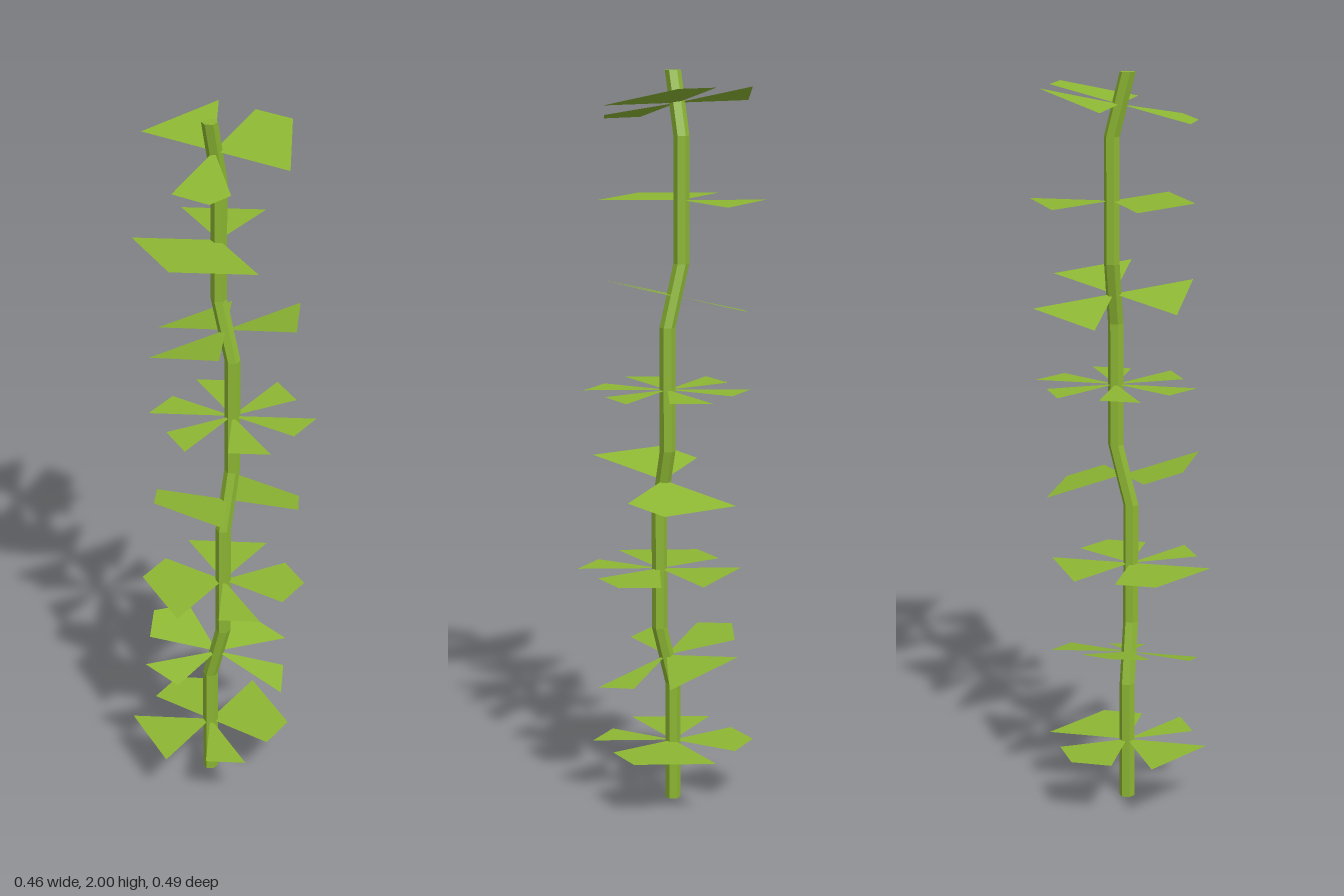
import * as THREE from 'three';

const STEM_RADIUS = 0.021;
const LEAF_RADIUS = 0.222;
const STEP = 1 / 6; // height between stem rings
const RAD = Math.PI / 180;

// Centre of stem ring k (0 to 12): it shifts sideways at the kinks
function ringCentre(k) {
  const x = k >= 3 && k <= 8 ? 0.035 : -0.008;
  const z = k >= 6 && k <= 11 ? -0.021 : 0.021;
  return new THREE.Vector3(x, k * STEP, z);
}

// Six-sided kinked stem
function createStem(material) {
  const geometry = new THREE.CylinderGeometry(STEM_RADIUS, STEM_RADIUS, 2, 6, 12);
  geometry.translate(0, 1, 0);
  const pos = geometry.attributes.position;
  for (let i = 0; i < pos.count; i++) {
    const c = ringCentre(Math.round(pos.getY(i) / STEP));
    pos.setX(i, pos.getX(i) + c.x);
    pos.setZ(i, pos.getZ(i) + c.z);
  }
  geometry.computeVertexNormals();
  const stem = new THREE.Mesh(geometry, material);
  stem.name = 'stem';
  return stem;
}

// Flat leaf: the slice of a hexagon between two angles (degrees, +x towards +z)
function createLeaf(from, to, firstCorner, material) {
  const angles = [from];
  for (let a = firstCorner; a < to; a += 60) if (a > from) angles.push(a);
  angles.push(to);
  const points = [new THREE.Vector2(0, 0)];
  for (const a of angles) {
    const offset = ((a - firstCorner + 360) % 60) - 30; // from the middle of the hexagon edge
    const r = LEAF_RADIUS * Math.cos(30 * RAD) / Math.cos(offset * RAD);
    points.push(new THREE.Vector2(r * Math.cos(a * RAD), -r * Math.sin(a * RAD)));
  }
  const geometry = new THREE.ShapeGeometry(new THREE.Shape(points));
  geometry.rotateX(-Math.PI / 2);
  const leaf = new THREE.Mesh(geometry, material);
  leaf.name = 'leaf';
  return leaf;
}

// Leaf whorls from bottom to top: position along the stem rings, then leaf slices
const WHORLS = [
  { at: 1, leaves: [[30, 60], [90, 150], [180, 240], [270, 360]] },
  { at: 2.5, leaves: [[90, 120], [150, 210], [240, 300], [330, 360]] },
  { at: 4, leaves: [[30, 60], [90, 180], [210, 270], [300, 360]] },
  { at: 5.5, leaves: [[60, 150], [240, 330]] },
  { at: 7, leaves: [[30, 60], [90, 120], [150, 180], [210, 240], [270, 300], [330, 360]] },
  { at: 8.5, leaves: [[60, 120], [180, 240], [300, 360]] },
  { at: 10, leaves: [[30, 150], [210, 270]] },
  { at: 11.5, leaves: [[45, 90], [180, 240], [270, 360]] },
];

export function createModel() {
  const model = new THREE.Group();
  model.name = 'vine';
  const stemMaterial = new THREE.MeshStandardMaterial({ color: 0x8db733, flatShading: true });
  const leafMaterial = new THREE.MeshStandardMaterial({ color: 0x8db733, flatShading: true, side: THREE.DoubleSide });
  model.add(createStem(stemMaterial));

  const up = new THREE.Vector3(0, 1, 0);
  for (const { at, leaves } of WHORLS) {
    const below = ringCentre(Math.floor(at));
    const above = ringCentre(Math.floor(at) + 1);
    const onKink = at % 1 !== 0;
    const whorl = new THREE.Group();
    whorl.name = 'leafWhorl';
    whorl.position.copy(below);
    if (onKink) {
      // Whorls on a kink lie square to the slanted stem
      whorl.position.lerp(above, 0.5);
      whorl.quaternion.setFromUnitVectors(up, above.clone().sub(below).normalize());
    }
    for (const [from, to] of leaves) {
      whorl.add(createLeaf(from, to, onKink ? 0 : 30, leafMaterial));
    }
    model.add(whorl);
  }
  return model;
}
